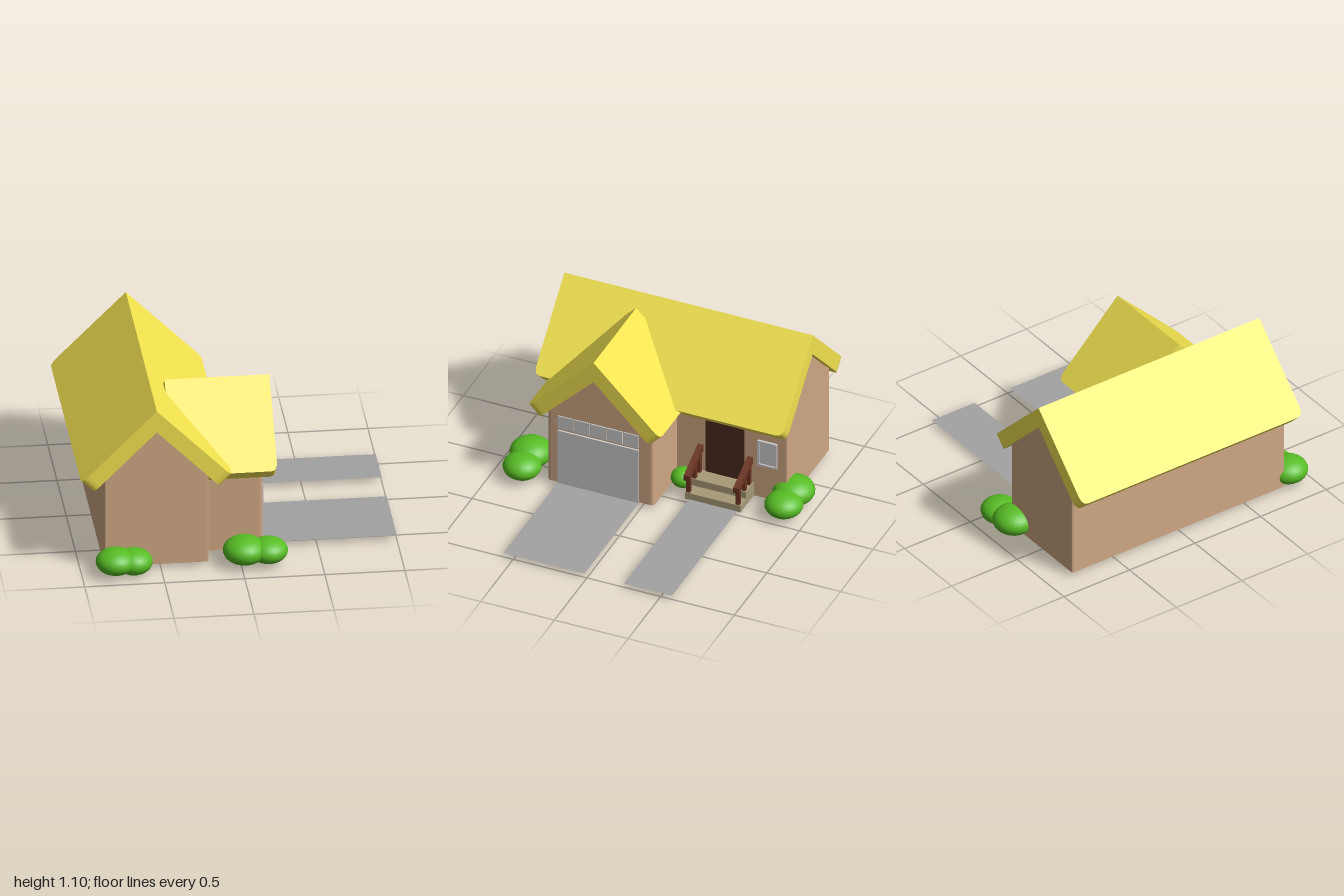
import * as THREE from 'three';

const paint = (color) => new THREE.MeshStandardMaterial({ color });
const ROOF = paint(0xf2e24f), WALL = paint(0xcfa784), GREEN = paint(0x58bd25), DOOR = paint(0x4a2a1c);
const RAIL = paint(0x6b3422), STONE = paint(0xa89a77), GREY = paint(0xcccccc);
const PAVING = paint(0xa2a2a2);
PAVING.side = THREE.DoubleSide;

function add(parent, name, geometry, material, x = 0, y = 0, z = 0) {
  const mesh = new THREE.Mesh(geometry, material);
  mesh.name = name;
  mesh.position.set(x, y, z);
  parent.add(mesh);
  return mesh;
}

// Box given by its limits on each axis
function block(parent, name, material, [x0, x1], [y0, y1], [z0, z1]) {
  const g = new THREE.BoxGeometry(x1 - x0, y1 - y0, z1 - z0);
  return add(parent, name, g, material, (x0 + x1) / 2, (y0 + y1) / 2, (z0 + z1) / 2);
}

// Roof slab sloping down at 45 degrees, with rounded eave corners and a mitred ridge
function slabGeometry(half, length, thick) {
  const u = half * Math.SQRT2, h = length / 2, ru = 0.06, rz = 0.045;
  const s = new THREE.Shape();
  s.moveTo(0, -h);
  s.lineTo(u - ru, -h);
  s.quadraticCurveTo(u, -h, u, -h + rz);
  s.lineTo(u, h - rz);
  s.quadraticCurveTo(u, h, u - ru, h);
  s.lineTo(0, h);
  const g = new THREE.ExtrudeGeometry(s, { depth: thick, bevelEnabled: false, curveSegments: 8 });
  const p = g.attributes.position;
  for (let i = 0; i < p.count; i++) {
    if (p.getX(i) < 1e-5 && p.getZ(i) > thick / 2) p.setX(i, thick);
  }
  const k = Math.SQRT1_2;
  g.applyMatrix4(new THREE.Matrix4().makeBasis(
    new THREE.Vector3(k, -k, 0), new THREE.Vector3(0, 0, 1), new THREE.Vector3(-k, -k, 0)));
  g.computeVertexNormals();
  return g;
}

function gableRoof(name, half, length) {
  const roof = new THREE.Group();
  roof.name = name;
  const g = slabGeometry(half, length, 0.102);
  add(roof, 'roofSlab', g, ROOF);
  add(roof, 'roofSlab', g, ROOF).rotation.y = Math.PI;
  return roof;
}

// Walls with softened corners and a gable prism above, ridge along z
function houseBody(name, width, length, wallTop, peak, r) {
  const body = new THREE.Group();
  body.name = name;
  const w = width / 2, h = length / 2, base = 0.028;
  const plan = new THREE.Shape();
  plan.moveTo(-w + r, -h);
  plan.lineTo(w - r, -h);
  plan.quadraticCurveTo(w, -h, w, -h + r);
  plan.lineTo(w, h - r);
  plan.quadraticCurveTo(w, h, w - r, h);
  plan.lineTo(-w + r, h);
  plan.quadraticCurveTo(-w, h, -w, h - r);
  plan.lineTo(-w, -h + r);
  plan.quadraticCurveTo(-w, -h, -w + r, -h);
  const walls = new THREE.ExtrudeGeometry(plan, { depth: wallTop - base, bevelEnabled: false, curveSegments: 5 });
  walls.rotateX(-Math.PI / 2);
  add(body, 'walls', walls, WALL, 0, base, 0);

  const t = peak - wallTop;
  const tri = new THREE.Shape([new THREE.Vector2(-t, 0), new THREE.Vector2(t, 0), new THREE.Vector2(0, t)]);
  const gable = new THREE.ExtrudeGeometry(tri, { depth: length, bevelEnabled: false });
  add(body, 'gable', gable, WALL, 0, wallTop, -h);
  return body;
}

export function createModel() {
  const house = new THREE.Group();
  house.name = 'house';

  // Main house
  const main = houseBody('mainHouse', 0.65, 1.62, 0.68, 0.955, 0.012);
  main.position.set(-0.527, 0, -0.02);
  const mainRoof = gableRoof('mainRoof', 0.471, 1.684);
  mainRoof.position.set(-0.529, 1.102, -0.015);

  // Garage wing, turned a quarter so its gable faces +x
  const wing = houseBody('garageWing', 0.72, 0.555, 0.6, 0.912, 0.025);
  wing.rotation.y = Math.PI / 2;
  wing.position.set(-0.1225, 0, 0.28);
  const wingRoof = gableRoof('garageRoof', 0.45, 0.655);
  wingRoof.rotation.y = Math.PI / 2;
  wingRoof.position.set(-0.0925, 1.055, 0.292);
  house.add(main, mainRoof, wing, wingRoof);

  // Garage door and the row of panes above it
  block(house, 'garageDoor', GREY, [0.14, 0.168], [0.028, 0.425], [0.018, 0.567]);
  for (let i = 0; i < 5; i++) {
    const z = 0.018 + i * 0.1115;
    block(house, 'garagePane', GREY, [0.14, 0.163], [0.438, 0.532], [z, z + 0.103]);
  }

  // Front door and window
  block(house, 'frontDoor', DOOR, [-0.22, -0.19], [0.127, 0.52], [-0.54, -0.28]);
  const windowGroup = new THREE.Group();
  windowGroup.name = 'window';
  house.add(windowGroup);
  block(windowGroup, 'pane', GREY, [-0.22, -0.195], [0.285, 0.45], [-0.75, -0.64]);
  for (const z of [-0.764, -0.644]) block(windowGroup, 'frame', GREY, [-0.22, -0.185], [0.275, 0.46], [z, z + 0.012]);
  for (const y of [0.275, 0.448]) block(windowGroup, 'frame', GREY, [-0.22, -0.185], [y, y + 0.012], [-0.752, -0.644]);

  // Porch steps
  block(house, 'lowerStep', STONE, [-0.21, 0.003], [0.028, 0.076], [-0.602, -0.225]);
  block(house, 'upperStep', STONE, [-0.21, -0.085], [0.076, 0.125], [-0.602, -0.225]);

  // Sloping handrails on posts
  for (const z of [-0.579, -0.243]) {
    const railing = new THREE.Group();
    railing.name = 'railing';
    house.add(railing);
    const rail = new THREE.Shape([[-0.2, 0.315], [-0.2, 0.275], [0.02, 0.175], [0.02, 0.215]]
      .map(([x, y]) => new THREE.Vector2(x, y)));
    const g = new THREE.ExtrudeGeometry(rail, { depth: 0.038, bevelEnabled: false });
    add(railing, 'handrail', g, RAIL, 0, 0, z - 0.019);
    for (const [x, y0, y1] of [[-0.175, 0.12, 0.28], [-0.105, 0.12, 0.25], [-0.015, 0.07, 0.21]]) {
      block(railing, 'post', RAIL, [x - 0.013, x + 0.013], [y0, y1], [z - 0.013, z + 0.013]);
    }
  }

  // Flat driveway and footpath
  for (const [name, x0, z0, z1] of [['driveway', 0.15, 0.016, 0.566], ['footpath', 0, -0.578, -0.252]]) {
    const g = new THREE.PlaneGeometry(1 - x0, z1 - z0).rotateX(-Math.PI / 2);
    add(house, name, g, PAVING, (1 + x0) / 2, 0.03, (z0 + z1) / 2);
  }

  // Bushes: x, bottom, top, z, radius
  const bushes = [
    [-0.79, 0.015, 0.18, 0.86, 0.125], [-0.675, 0, 0.163, 0.84, 0.118],
    [0.02, 0.018, 0.195, 0.81, 0.135], [0.17, 0.015, 0.175, 0.805, 0.122],
    [-0.255, 0.018, 0.195, -0.85, 0.134], [-0.106, 0.013, 0.172, -0.848, 0.122],
    [-0.14, 0.015, 0.142, -0.15, 0.078],
  ];
  for (const [x, y0, y1, z, r] of bushes) {
    const bush = add(house, 'bush', new THREE.SphereGeometry(1, 24, 16), GREEN, x, (y0 + y1) / 2, z);
    bush.scale.set(r, (y1 - y0) / 2, r);
  }
  return house;
}
